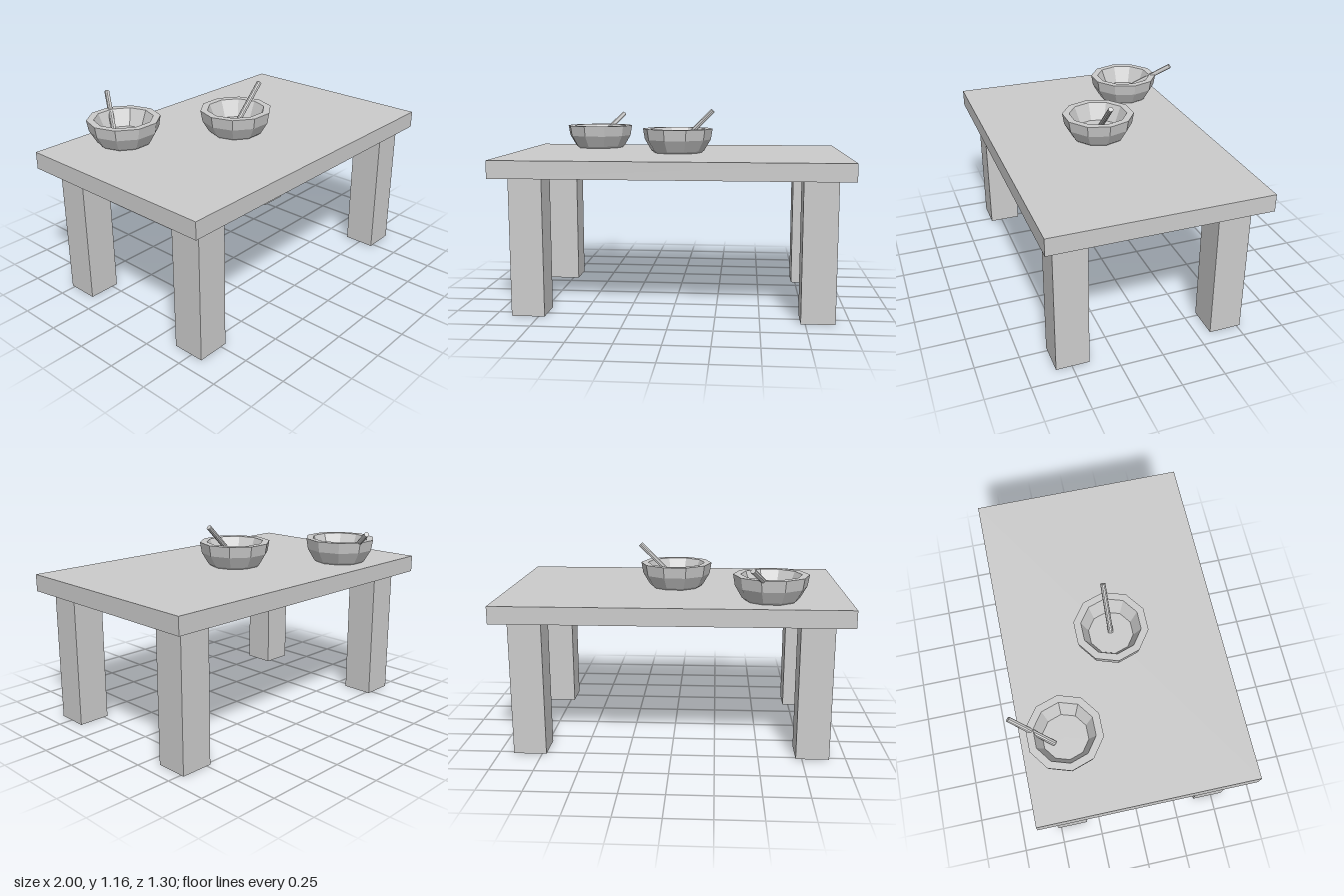
import * as THREE from 'three';

const material = new THREE.MeshStandardMaterial({ color: 0xcccccc, flatShading: true });

function addMesh(parent, name, geometry, x = 0, y = 0, z = 0) {
  const mesh = new THREE.Mesh(geometry, material);
  mesh.name = name;
  mesh.position.set(x, y, z);
  parent.add(mesh);
  return mesh;
}

// Straight round stick between two points
function addStick(parent, name, from, to, radius) {
  const a = new THREE.Vector3(...from);
  const b = new THREE.Vector3(...to);
  const dir = b.clone().sub(a);
  const stick = addMesh(parent, name, new THREE.CylinderGeometry(radius, radius, dir.length(), 10));
  stick.position.copy(a).add(b).multiplyScalar(0.5);
  stick.quaternion.setFromUnitVectors(new THREE.Vector3(0, 1, 0), dir.normalize());
}

export function createModel() {
  const model = new THREE.Group();
  model.name = 'tableWithBowls';

  // Table top
  const topY = 0.895;
  addMesh(model, 'tableTop', new THREE.BoxGeometry(2, 0.1, 1.255), 0, topY - 0.05, 0.021);

  // Four square legs
  const legGeometry = new THREE.BoxGeometry(0.19, 0.8, 0.19);
  const legs = [
    ['frontLeftLeg', 0.82, 0.495],
    ['frontRightLeg', -0.81, 0.477],
    ['backLeftLeg', 0.82, -0.425],
    ['backRightLeg', -0.81, -0.425],
  ];
  for (const [name, x, z] of legs) addMesh(model, name, legGeometry, x, 0.4, z);

  // Ten-sided bowl with a thick flat rim: outside wall, rim, inside wall, floor
  const profile = [
    [0, 0], [0.148, 0], [0.163, 0.012], [0.203, 0.08], [0.214, 0.145],
    [0.172, 0.145], [0.13, 0.045], [0, 0.045],
  ].map(([r, y]) => new THREE.Vector2(r, y));
  const bowlGeometry = new THREE.LatheGeometry(profile, 10);
  bowlGeometry.rotateY(Math.PI / 10);

  addMesh(model, 'centreBowl', bowlGeometry, -0.004, topY, 0.02);
  addMesh(model, 'backBowl', bowlGeometry, -0.555, topY, -0.356);

  // Sticks leaning on the rims
  addStick(model, 'centreBowlStick', [0, 0.938, 0.02], [0.212, 1.15, 0.02], 0.015);
  addStick(model, 'backBowlStick', [-0.58, 0.945, -0.42], [-0.438, 1.108, -0.638], 0.015);

  return model;
}
